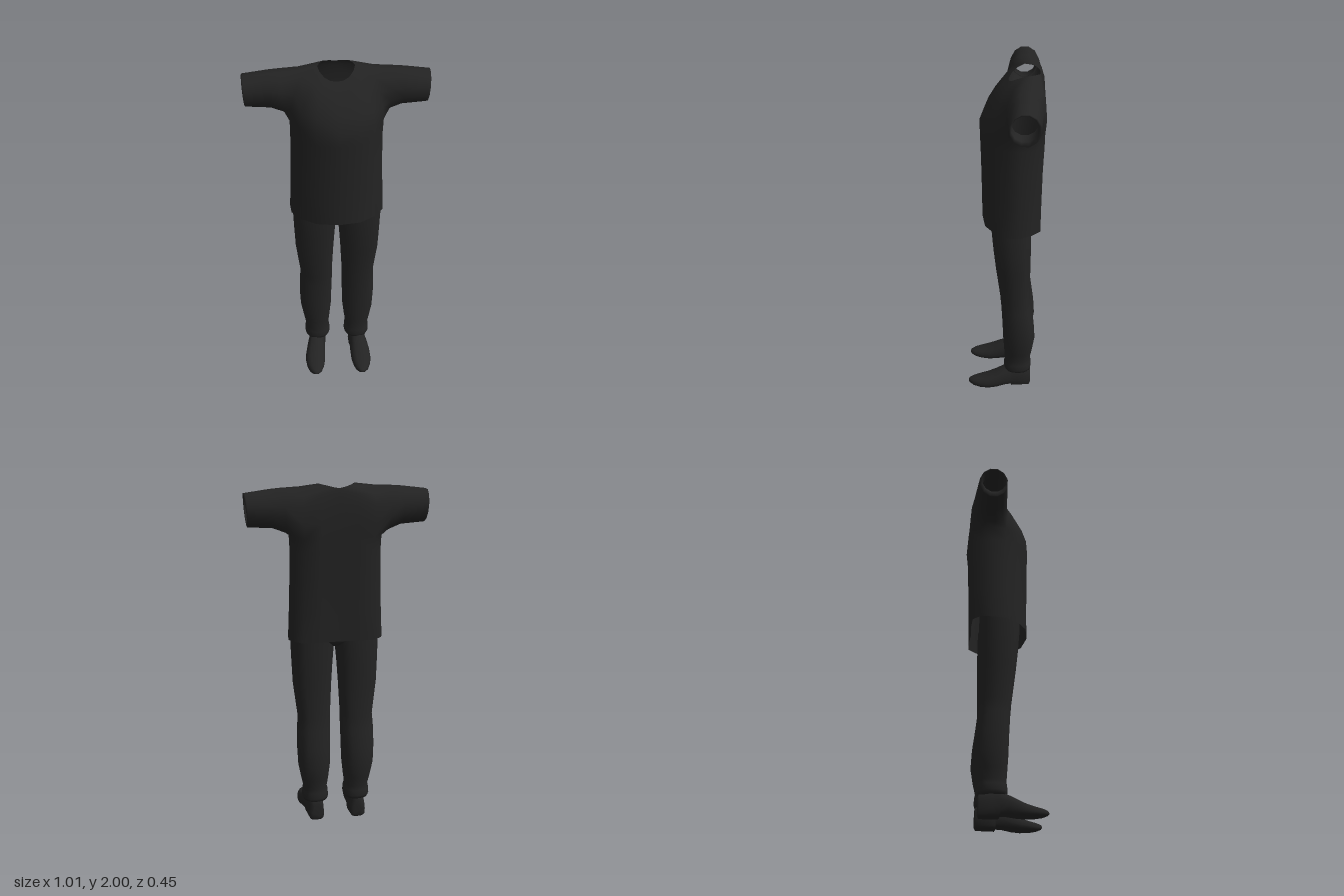
import * as THREE from 'three';
import { mergeGeometries, mergeVertices } from 'three/addons/utils/BufferGeometryUtils.js';

const cloth = new THREE.MeshStandardMaterial({ color: 0x232323, side: THREE.DoubleSide });
cloth.name = 'charcoal cloth';

function geometryFrom(points, index) {
  const g = new THREE.BufferGeometry();
  g.setAttribute('position', new THREE.Float32BufferAttribute(points.flat(), 3));
  g.setIndex(index);
  g.computeVertexNormals();
  return g;
}

function quad(index, a, b, c, d) {
  index.push(a, b, c, a, c, d);
}

// Closed rings of equal size joined into a skin, with optional end caps
function loft(rings, capStart = false, capEnd = false) {
  const n = rings[0].length;
  const points = rings.flat();
  const index = [];
  for (let r = 0; r < rings.length - 1; r++) {
    for (let i = 0; i < n; i++) {
      const j = (i + 1) % n;
      quad(index, r * n + i, r * n + j, (r + 1) * n + j, (r + 1) * n + i);
    }
  }
  const last = (rings.length - 1) * n;
  for (let i = 1; i < n - 1; i++) {
    if (capStart) index.push(0, i + 1, i);
    if (capEnd) index.push(last, last + i, last + i + 1);
  }
  return geometryFrom(points, index);
}

const power = (v, e) => Math.sign(v) * Math.abs(v) ** e;

// Horizontal ring between x0..x1 and z front..back
function levelRing([y, x0, x1, zf, zb], n = 16, e = 0.85) {
  return Array.from({ length: n }, (_, i) => {
    const t = (-i / n) * Math.PI * 2;
    return [
      (x0 + x1) / 2 + ((x1 - x0) / 2) * power(Math.cos(t), e), y,
      (zf + zb) / 2 + ((zf - zb) / 2) * power(Math.sin(t), e),
    ];
  });
}

// Half of the shirt: columns run front centre, round the side, to back centre
function halfShirt() {
  const chest = [
    [0, 1.72, 0.138], [0.12, 1.72, 0.118], [0.2, 1.72, 0.06], [0.252, 1.72, -0.015],
    [0.258, 1.72, -0.09], [0.24, 1.72, -0.165], [0.195, 1.72, -0.216], [0.1, 1.72, -0.22], [0, 1.72, -0.212],
  ];
  const lower = [[1.12, 1.045, 0.93], [1.3, 1.015, 0.94], [1.5, 0.99, 0.96], [1.64, 0.985, 0.99]]
    .map(([y, fx, fz]) => chest.map(([x, , z]) => [x * fx, y + (y < 1.2 && z < -0.1 ? 0.012 : 0), z * fz]));
  const upper = [
    [[0, 1.8, 0.107], [0.115, 1.8, 0.092], [0.192, 1.8, 0.05], [0.245, 1.8, -0.005],
      [0.25, 1.8, -0.09], [0.24, 1.8, -0.165], [0.2, 1.8, -0.224], [0.1, 1.8, -0.223], [0, 1.8, -0.215]],
    [[0, 1.87, 0.06], [0.1, 1.872, 0.052], [0.165, 1.88, 0.024], [0.225, 1.88, -0.018],
      [0.25, 1.88, -0.09], [0.24, 1.88, -0.165], [0.2, 1.89, -0.217], [0.1, 1.89, -0.217], [0, 1.89, -0.21]],
    [[0, 1.918, 0.015], [0.07, 1.925, 0.008], [0.13, 1.945, -0.012], [0.195, 1.957, -0.042],
      [0.205, 1.985, -0.09], [0.2, 1.983, -0.142], [0.19, 1.95, -0.2], [0.08, 1.958, -0.203], [0, 1.955, -0.202]],
    [[0, 1.95, -0.02], [0.035, 1.953, -0.025], [0.065, 1.965, -0.04], [0.09, 1.985, -0.07],
      [0.1, 2, -0.105], [0.087, 2, -0.14], [0.065, 1.998, -0.17], [0.03, 1.99, -0.188], [0, 1.985, -0.19]],
  ];
  const rows = [...lower, chest, ...upper];
  const points = rows.flat();
  const at = (r, c) => r * 9 + c;
  const index = [];
  const bottom = 4, top = 7, front = 3, back = 6;
  for (let r = 0; r < rows.length - 1; r++) {
    for (let c = 0; c < 8; c++) {
      const armhole = r >= bottom && r < top && c >= front && c < back;
      if (!armhole) quad(index, at(r, c), at(r, c + 1), at(r + 1, c + 1), at(r + 1, c));
    }
  }

  // Sleeve grown from the armhole border, ending in a turned-in cuff
  let loop = [];
  for (let k = 0; k < 3; k++) loop.push(at(bottom, front + k));
  for (let k = 0; k < 3; k++) loop.push(at(bottom + k, back));
  for (let k = 0; k < 3; k++) loop.push(at(top, back - k));
  for (let k = 0; k < 3; k++) loop.push(at(top - k, front));
  const sleeve = [ // x, centre y, centre z, half height, half depth
    [0.29, 1.862, -0.109, 0.122, 0.1], [0.36, 1.873, -0.109, 0.105, 0.093],
    [0.49, 1.869, -0.109, 0.092, 0.083], [0.497, 1.869, -0.109, 0.091, 0.082],
    [0.497, 1.88, -0.107, 0.073, 0.07], [0.42, 1.882, -0.106, 0.072, 0.07],
  ];
  for (const [x, cy, cz, ry, rz] of sleeve) {
    const next = loop.map((_, i) => {
      const a = -(Math.PI / 4 + (i * Math.PI) / 6);
      points.push([x + 0.007 * Math.sin(a), cy + ry * Math.sin(a), cz + rz * Math.cos(a)]);
      return points.length - 1;
    });
    loop.forEach((a, i) => {
      const j = (i + 1) % loop.length;
      quad(index, a, loop[j], next[j], next[i]);
    });
    loop = next;
  }
  return geometryFrom(points, index);
}

// Both halves welded so the centre line stays smooth
function shirtGeometry() {
  const left = halfShirt();
  const right = left.clone().scale(-1, 1, 1);
  right.setIndex(Array.from(right.index.array).reverse());
  const both = mergeGeometries([left, right]);
  both.deleteAttribute('normal');
  const welded = mergeVertices(both, 1e-4);
  welded.computeVertexNormals();
  return welded;
}

// Trouser leg: y, inner x, outer x, front z, back z
function legGeometry() {
  return loft([
    [1.2, -0.01, 0.25, 0.075, -0.15], [1.09, 0.002, 0.254, 0.073, -0.152], [0.97, 0.012, 0.25, 0.063, -0.152],
    [0.85, 0.02, 0.245, 0.05, -0.15], [0.65, 0.03, 0.221, 0.025, -0.15], [0.57, 0.03, 0.227, 0.018, -0.16],
    [0.46, 0.033, 0.229, 0.012, -0.175], [0.35, 0.036, 0.224, 0.008, -0.182], [0.26, 0.046, 0.207, 0.002, -0.168],
    [0.2, 0.055, 0.194, -0.002, -0.155], [0.175, 0.048, 0.2, 0.002, -0.16], [0.14, 0.045, 0.202, 0.003, -0.162],
    [0.122, 0.052, 0.195, -0.003, -0.157], [0.122, 0.08, 0.17, -0.03, -0.13],
  ].map((row) => levelRing(row)).reverse());
}

// Shoe with a low heel: z, centre x, half width, top y, bottom y
function shoeGeometry() {
  const stations = [
    [-0.158, 0.125, 0.025, 0.11, 0.012], [-0.15, 0.125, 0.044, 0.135, 0], [-0.08, 0.125, 0.052, 0.145, 0],
    [-0.045, 0.128, 0.053, 0.145, 0], [-0.038, 0.13, 0.053, 0.145, 0.013], [0, 0.136, 0.056, 0.128, 0.013],
    [0.05, 0.142, 0.061, 0.1, 0.006], [0.1, 0.145, 0.061, 0.075, 0.003], [0.15, 0.146, 0.053, 0.06, 0.005],
    [0.19, 0.146, 0.038, 0.051, 0.01], [0.215, 0.145, 0.018, 0.042, 0.018], [0.222, 0.145, 0.006, 0.034, 0.025],
  ];
  const rings = stations.map(([z, cx, hw, top, base]) => Array.from({ length: 16 }, (_, i) => {
    const t = (i / 16) * Math.PI * 2;
    const s = Math.sin(t);
    const mid = base + (top - base) * 0.35;
    const y = s < 0 ? mid + (mid - base) * power(s, 0.45) : mid + (top - mid) * s;
    return [cx + hw * power(Math.cos(t), 0.75), y, z];
  }));
  return loft(rings, true, true);
}

export function createModel() {
  const model = new THREE.Group();
  model.name = 'clothing set';
  const add = (name, geometry, mirror = 1) => {
    const mesh = new THREE.Mesh(geometry, cloth);
    mesh.name = name;
    mesh.scale.x = mirror;
    model.add(mesh);
  };

  add('shirt', shirtGeometry());

  // Seat of the trousers under the shirt hem
  add('trouserSeat', loft([
    [1.075, -0.04, 0.04, 0.0, -0.1], [1.1, -0.12, 0.12, 0.05, -0.13],
    [1.14, -0.245, 0.245, 0.073, -0.15], [1.25, -0.24, 0.24, 0.075, -0.15],
  ].map((row) => levelRing(row, 20)), true));

  const leg = legGeometry();
  const shoe = shoeGeometry();
  for (const [side, s] of [['left', 1], ['right', -1]]) {
    add(side + 'TrouserLeg', leg, s);
    add(side + 'Shoe', shoe, s);
  }
  return model;
}
